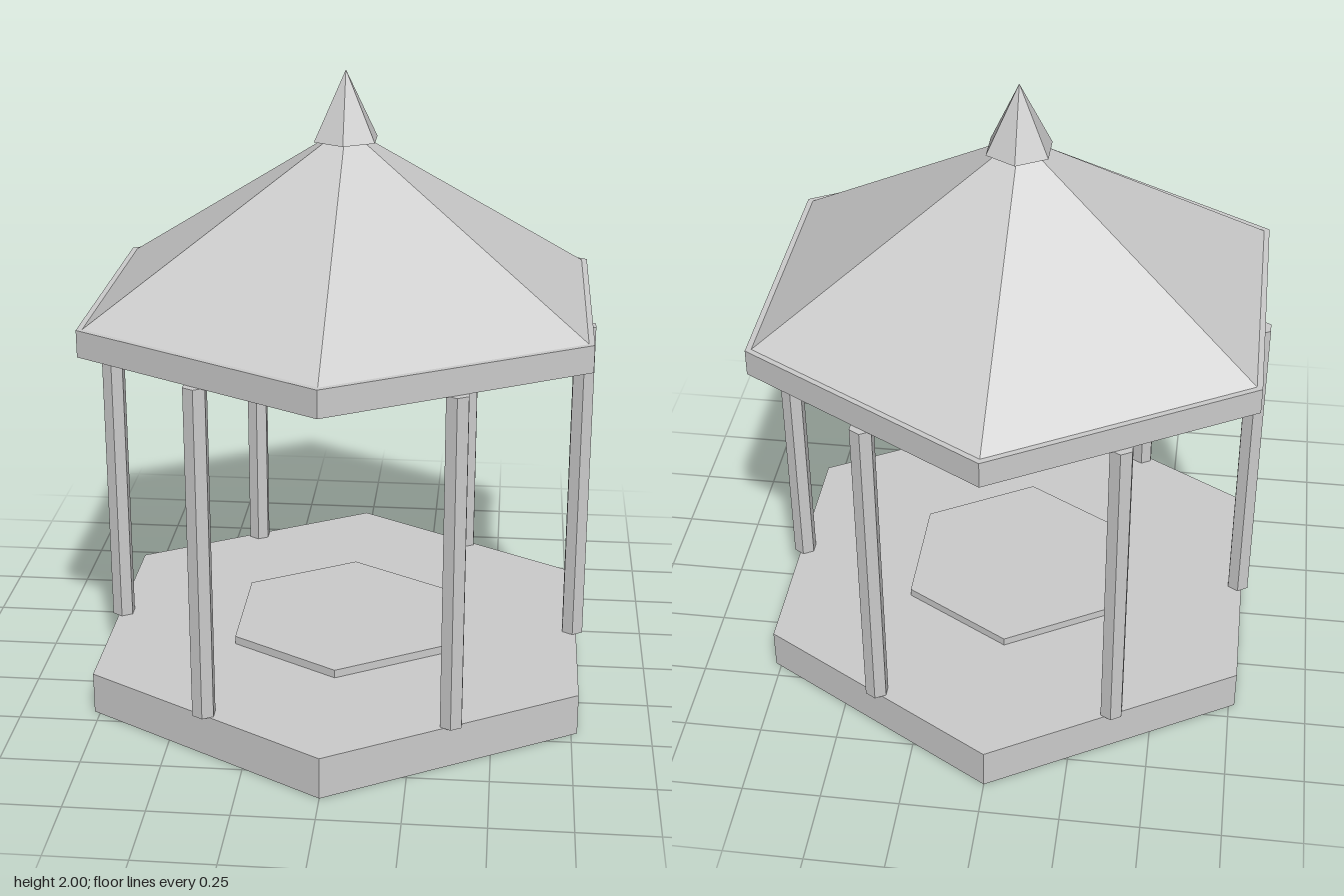
import * as THREE from 'three';

const paleGrey = new THREE.MeshStandardMaterial({ color: 0xcccccc, flatShading: true });
paleGrey.name = 'paleGrey';

// Six-sided prism, frustum or cone standing between two heights
function hexPart(name, rTop, rBottom, y0, y1) {
  const geometry = new THREE.CylinderGeometry(rTop, rBottom, y1 - y0, 6);
  const mesh = new THREE.Mesh(geometry, paleGrey);
  mesh.name = name;
  mesh.position.y = (y0 + y1) / 2;
  return mesh;
}

export function createModel() {
  const gazebo = new THREE.Group();
  gazebo.name = 'gazebo';

  // Floor with a low step in the middle
  gazebo.add(hexPart('base', 0.888, 0.888, 0, 0.135));
  gazebo.add(hexPart('centreStep', 0.4, 0.4, 0.135, 0.162));

  // Posts at the middle of each side
  const posts = new THREE.Group();
  posts.name = 'posts';
  for (let i = 0; i < 6; i++) {
    const angle = (i * Math.PI) / 3;
    const post = hexPart('post', 0.038, 0.038, 0.135, 1.205);
    post.position.x = 0.757 * Math.cos(angle);
    post.position.z = 0.757 * Math.sin(angle);
    posts.add(post);
  }
  gazebo.add(posts);

  // Eaves, roof and finial
  gazebo.add(hexPart('eaves', 0.888, 0.888, 1.205, 1.29));
  gazebo.add(hexPart('roof', 0, 0.868, 1.29, 1.826));
  gazebo.add(hexPart('finial', 0, 0.108, 1.785, 2));

  return gazebo;
}
